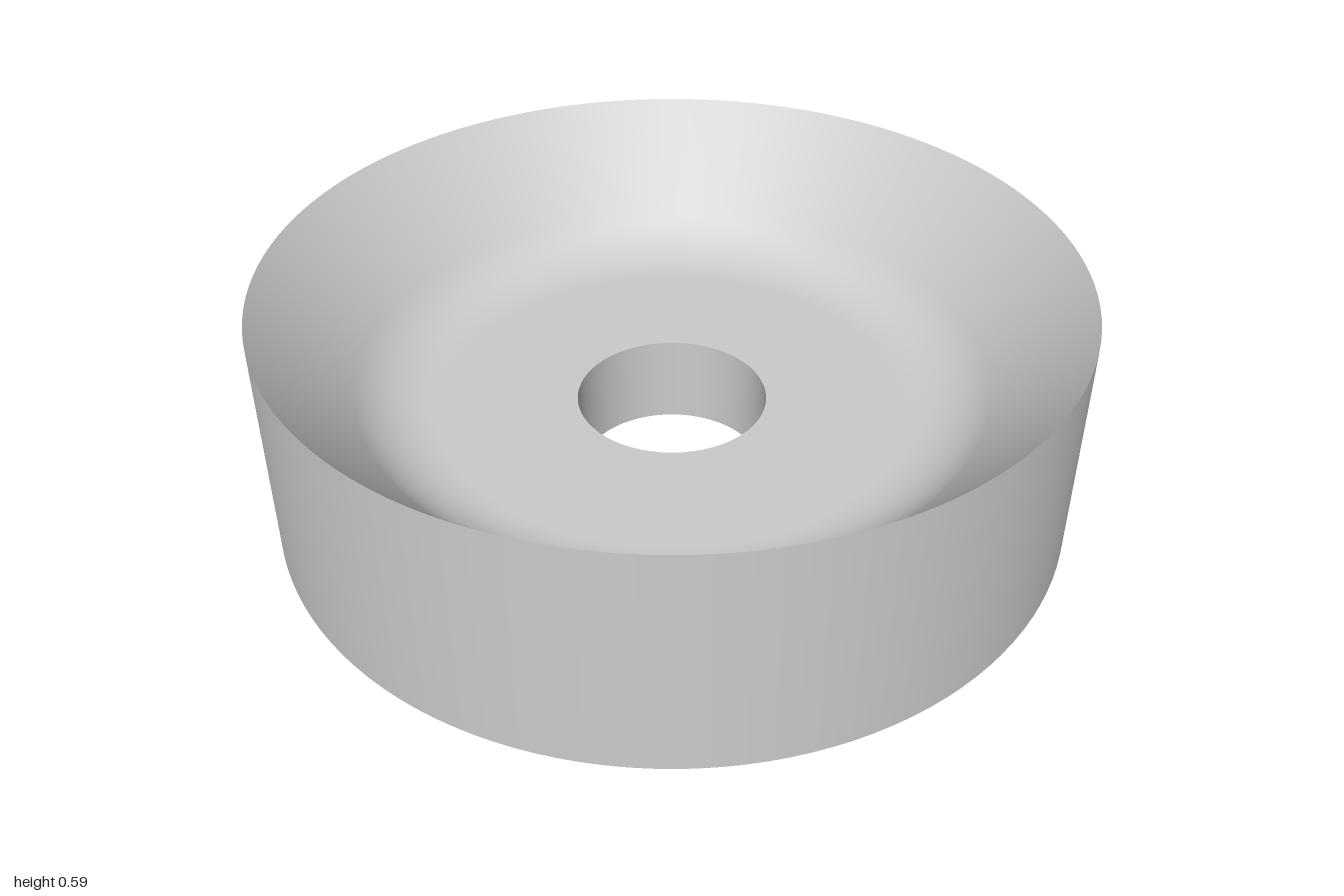
import * as THREE from 'three';

const RADIUS = 1, HEIGHT = 0.587, HOLE = 0.237, FLOOR = 0.235, SEGMENTS = 128;

export function createModel() {
  const group = new THREE.Group();
  group.name = 'dishedRing';
  const material = new THREE.MeshStandardMaterial({ color: 0xcccccc });
  const v = (x, y) => new THREE.Vector2(x, y);

  // Each surface is its own lathe, so edges stay sharp between smooth parts
  const addSurface = (name, points) => {
    const mesh = new THREE.Mesh(new THREE.LatheGeometry(points, SEGMENTS), material);
    mesh.name = name;
    group.add(mesh);
  };

  addSurface('base', [v(HOLE, 0), v(RADIUS, 0)]);
  addSurface('outerWall', [v(RADIUS, 0), v(RADIUS, HEIGHT)]);

  // Dish: conical side from the thin rim, rounded into the flat floor
  const fillet = new THREE.QuadraticBezierCurve(v(0.78, 0.329), v(0.7, FLOOR), v(0.58, FLOOR));
  addSurface('dish', [
    v(RADIUS, HEIGHT), v(0.89, 0.458), ...fillet.getPoints(16), v(0.45, FLOOR), v(HOLE, FLOOR),
  ]);

  addSurface('centreHole', [v(HOLE, FLOOR), v(HOLE, 0)]);
  return group;
}
